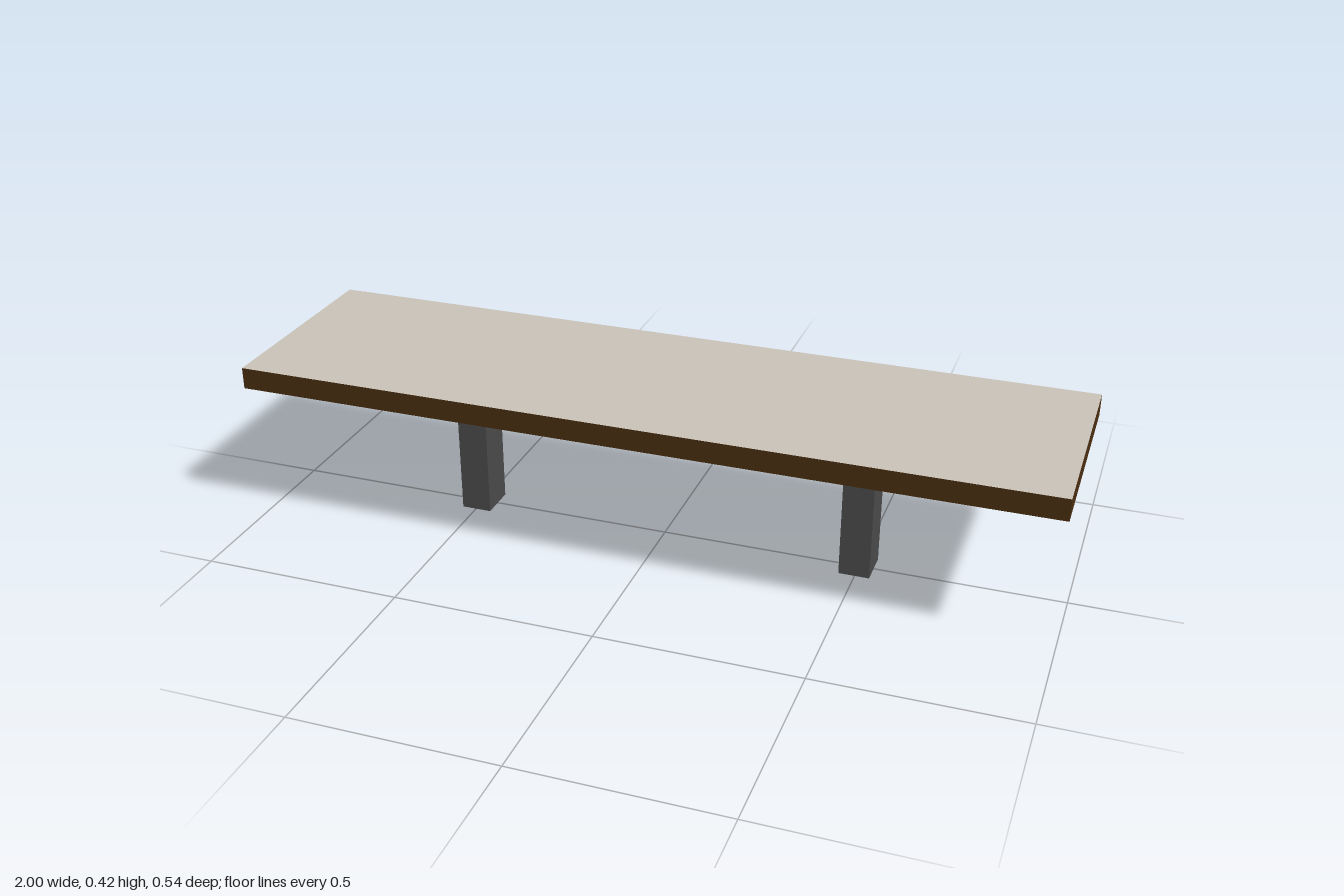
import * as THREE from 'three';

export function createModel() {
  const stone = new THREE.MeshStandardMaterial({ name: 'paleStone', color: 0xcbc3b9 });
  const wood = new THREE.MeshStandardMaterial({ name: 'darkWood', color: 0x4a2e10 });
  const metal = new THREE.MeshStandardMaterial({ name: 'darkMetal', color: 0x4b4b4b });

  const model = new THREE.Group();
  model.name = 'bench';

  function addBox(name, size, position, material) {
    const mesh = new THREE.Mesh(new THREE.BoxGeometry(...size), material);
    mesh.name = name;
    mesh.position.set(...position);
    model.add(mesh);
  }

  // Slab: wooden edges, pale upper and lower faces
  addBox('top', [2, 0.054, 0.542], [0, 0.392, 0], [wood, wood, stone, stone, wood, wood]);

  // Two posts under the slab
  for (const side of [-1, 1]) {
    addBox(side > 0 ? 'leftLeg' : 'rightLeg', [0.076, 0.365, 0.095], [side * 0.498, 0.1825, 0], metal);
  }

  // Rail joining the legs
  addBox('rail', [0.92, 0.031, 0.031], [0, 0.305, 0], metal);

  return model;
}
